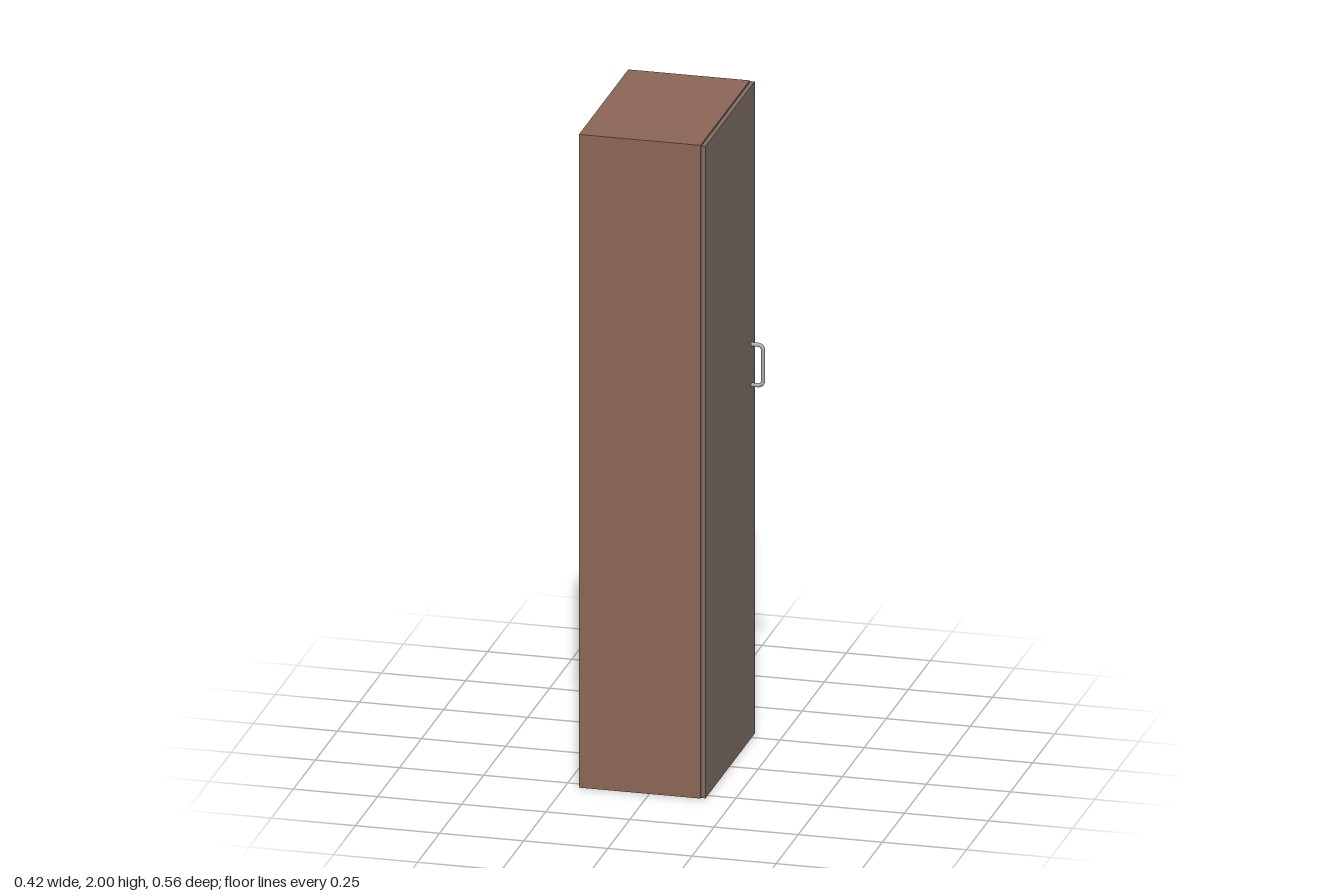
import * as THREE from 'three';

const material = (color) => new THREE.MeshStandardMaterial({ color });

function panel(name, x0, x1, y0, y1, depth, mat) {
  const mesh = new THREE.Mesh(new THREE.BoxGeometry(x1 - x0, y1 - y0, depth), mat);
  mesh.position.set((x0 + x1) / 2, (y0 + y1) / 2, 0);
  mesh.name = name;
  return mesh;
}

export function createModel() {
  const group = new THREE.Group();
  group.name = 'tallCabinet';

  // Carcass and the single door on its +x side, with a fine gap between
  group.add(panel('carcass', -0.209, 0.152, 0, 2, 0.56, material(0x8b6556)));
  group.add(panel('door', 0.154, 0.167, 0.002, 1.998, 0.56, material(0x7d6c62)));

  // Bow handle: two legs and a grip joined by rounded corners
  const z = -0.243, doorX = 0.165, gripX = 0.201, low = 1.083, high = 1.207, r = 0.016;
  const p = (x, y) => new THREE.Vector3(x, y, z);
  const path = new THREE.CurvePath();
  path.add(new THREE.LineCurve3(p(doorX, low), p(gripX - r, low)));
  path.add(new THREE.QuadraticBezierCurve3(p(gripX - r, low), p(gripX, low), p(gripX, low + r)));
  path.add(new THREE.LineCurve3(p(gripX, low + r), p(gripX, high - r)));
  path.add(new THREE.QuadraticBezierCurve3(p(gripX, high - r), p(gripX, high), p(gripX - r, high)));
  path.add(new THREE.LineCurve3(p(gripX - r, high), p(doorX, high)));
  const handle = new THREE.Mesh(new THREE.TubeGeometry(path, 64, 0.006, 16), material(0xaaaaaa));
  handle.name = 'handle';
  group.add(handle);

  return group;
}
